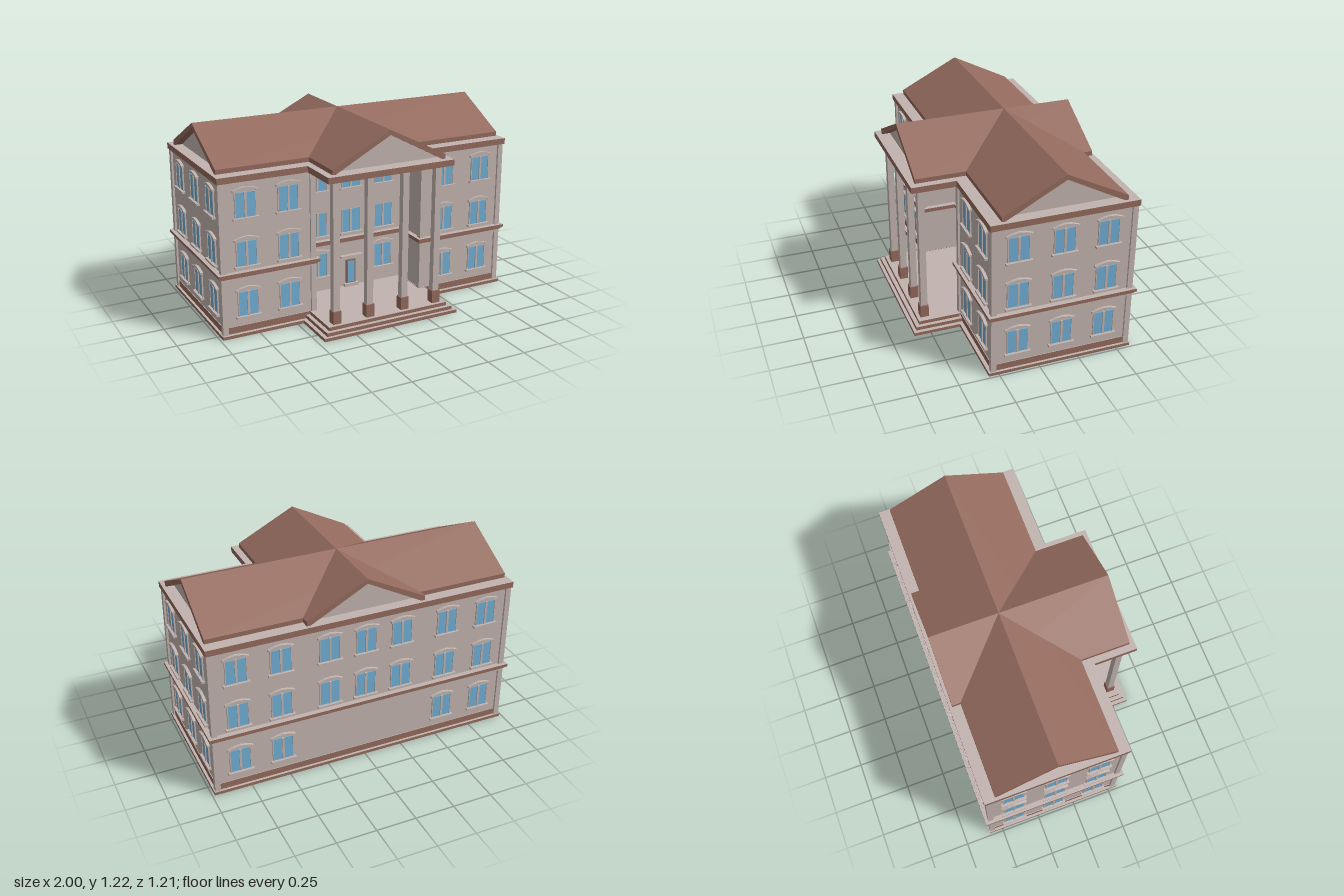
import * as THREE from 'three';

const brick = new THREE.MeshStandardMaterial({ name: 'russet brown', color: 0x946a5d });
const stone = new THREE.MeshStandardMaterial({ name: 'pale stone', color: 0xc2b4af });
const glass = new THREE.MeshStandardMaterial({ name: 'window blue', color: 0x70aed4 });

function add(parent, name, geometry, material) {
  const mesh = new THREE.Mesh(geometry, material);
  mesh.name = name;
  parent.add(mesh);
  return mesh;
}

function box(parent, name, mat, x0, x1, y0, y1, z0, z1) {
  const m = add(parent, name, new THREE.BoxGeometry(x1 - x0, y1 - y0, z1 - z0), mat);
  m.position.set((x0 + x1) / 2, (y0 + y1) / 2, (z0 + z1) / 2);
  return m;
}

const toShape = (pts) => new THREE.Shape(pts.map(([x, y]) => new THREE.Vector2(x, y)));

// Slab from half a floor plan (x >= 0, listed as [x, z]), mirrored and raised from y0 to y1
function slab(parent, name, half, y0, y1, side, cap = stone) {
  const pts = [...half, ...half.slice().reverse().map(([x, z]) => [-x, z])];
  const g = new THREE.ExtrudeGeometry(toShape(pts.map(([x, z]) => [x, -z])), { depth: y1 - y0, bevelEnabled: false });
  g.rotateX(-Math.PI / 2).translate(0, y0, 0);
  return add(parent, name, g, [cap, side]);
}

// Wall plan with a recessed porch, grown outwards by d
const wallPlan = (d) => [
  [0.965 + d, -0.57 - d], [0.965 + d, 0.285 + d], [0.38 - d, 0.285 + d], [0.38 - d, 0.04 + d],
];
// Plan with a projecting porch of half width w reaching z = f
const porchPlan = (w, f, z) => [[0.985, -0.59], [0.985, z], [w, z], [w, f]];

const hoodShape = toShape([
  [-0.064, 0], [-0.06, 0.006], [0, 0.015], [0.06, 0.006], [0.064, 0], [0.079, 0],
  [0.079, 0.011], [0.04, 0.024], [0, 0.03], [-0.04, 0.024], [-0.079, 0.011], [-0.079, 0],
]);

// Double window; y is the foot of the glass
function addWindow(parent, x, y, z, turn, hood = true) {
  const w = new THREE.Group();
  w.name = 'window';
  for (const s of [-1, 1]) {
    box(w, 'pane', glass, s * 0.034 - 0.027, s * 0.034 + 0.027, 0, 0.15, 0, 0.005);
    box(w, 'jamb', stone, s * 0.064 - 0.003, s * 0.064 + 0.003, 0, 0.153, 0, 0.009);
  }
  box(w, 'mullion', stone, -0.007, 0.007, 0, 0.153, 0, 0.011);
  box(w, 'sill', stone, -0.08, 0.08, -0.013, 0, 0, 0.022);
  if (hood) {
    const g = new THREE.ExtrudeGeometry(hoodShape, { depth: 0.018, bevelEnabled: false });
    add(w, 'hood', g, stone).position.y = 0.157;
  }
  w.position.set(x, y, z);
  w.rotation.y = turn;
  parent.add(w);
}

// Gabled roof along z from z0 to z1, h half width, with inset gable walls
function addRoof(parent, name, h, z0, z1) {
  const roof = new THREE.Group();
  roof.name = name;
  const shell = toShape([[h, 1.0], [h, 1.028], [0, 1.22], [-h, 1.028], [-h, 1.0], [-h + 0.022, 1.0], [0, 1.19], [h - 0.022, 1.0]]);
  const shellGeo = new THREE.ExtrudeGeometry(shell, { depth: z1 - z0, bevelEnabled: false });
  add(roof, 'roofShell', shellGeo, brick).position.z = z0;
  const wall = toShape([[h - 0.02, 1.0], [0, 1.192], [-h + 0.02, 1.0]]);
  const inset = 0.05;
  const wallGeo = new THREE.ExtrudeGeometry(wall, { depth: z1 - z0 - 2 * inset, bevelEnabled: false });
  add(roof, 'gableWalls', wallGeo, stone).position.z = z0 + inset;
  parent.add(roof);
  return roof;
}

export function createModel() {
  const model = new THREE.Group();
  model.name = 'columnedBuilding';

  // Plinth and porch steps
  slab(model, 'plinth', porchPlan(0.46, 0.605, 0.312), 0, 0.02, brick);
  slab(model, 'middleStep', [[0.435, 0.2], [0.435, 0.585]], 0.02, 0.042, brick);
  box(model, 'porchFoundation', brick, -0.37, 0.37, 0.02, 0.06, 0.04, 0.3);
  slab(model, 'topStep', [[0.37, 0.03], [0.37, 0.297], [0.41, 0.297], [0.41, 0.56]], 0.042, 0.064, brick);

  // Walls, base band and belt course
  slab(model, 'walls', wallPlan(0), 0.02, 0.965, stone);
  slab(model, 'baseBand', wallPlan(0.004), 0.02, 0.062, brick);
  slab(model, 'beltFrieze', wallPlan(0.013), 0.362, 0.377, stone);
  slab(model, 'beltLowerMoulding', wallPlan(0.02), 0.377, 0.385, brick, brick);
  slab(model, 'beltUpperMoulding', wallPlan(0.027), 0.385, 0.392, brick, brick);
  slab(model, 'beltCourse', wallPlan(0.033), 0.392, 0.41, brick);

  // Corner pilasters
  for (const s of [-1, 1]) {
    for (const [x, z] of [[0.961, 0.281], [0.961, -0.566], [0.383, 0.281]]) {
      box(model, 'pilaster', stone, s * x - 0.017, s * x + 0.017, 0.02, 0.96, z - 0.017, z + 0.017);
    }
  }

  // Columns
  for (const x of [-0.345, -0.12, 0.12, 0.345]) {
    box(model, 'columnBase', brick, x - 0.027, x + 0.027, 0.064, 0.145, 0.485, 0.538);
    box(model, 'column', stone, x - 0.021, x + 0.021, 0.145, 0.965, 0.49, 0.531);
  }

  // Roof slab and crossing roofs
  slab(model, 'roofSlab', porchPlan(0.42, 0.582, 0.308), 0.96, 0.998, brick);
  addRoof(model, 'porchRoof', 0.378, -0.573, 0.547);
  const main = addRoof(model, 'mainRoof', 0.378, -0.965, 0.965);
  main.rotation.y = Math.PI / 2;
  main.position.z = -0.142;

  // Windows on wings, sides and back
  const rows = [0.125, 0.44, 0.74];
  rows.forEach((y, row) => {
    for (const s of [-1, 1]) {
      for (const x of [0.54, 0.81]) {
        addWindow(model, s * x, y, 0.285, 0);
        addWindow(model, s * x, y, -0.57, Math.PI);
      }
      for (const z of [0.135, -0.14, -0.41]) addWindow(model, s * 0.965, y, z, s * Math.PI / 2);
      // Porch windows; the ground pair sits higher
      addWindow(model, s * 0.235, row ? y : 0.165, 0.04, 0, row === 0);
    }
    if (row) {
      addWindow(model, 0, y, 0.04, 0, false);
      for (const x of [-0.235, 0, 0.235]) addWindow(model, x, y, -0.57, Math.PI);
    }
  });

  // Door
  box(model, 'doorStep', stone, -0.05, 0.05, 0.064, 0.085, 0.04, 0.065);
  box(model, 'doorFrame', brick, -0.034, 0.034, 0.085, 0.245, 0.04, 0.05);
  box(model, 'doorGlass', glass, -0.025, 0.025, 0.093, 0.236, 0.05, 0.054);
  box(model, 'doorLintel', stone, -0.08, 0.08, 0.271, 0.281, 0.04, 0.07);

  return model;
}
